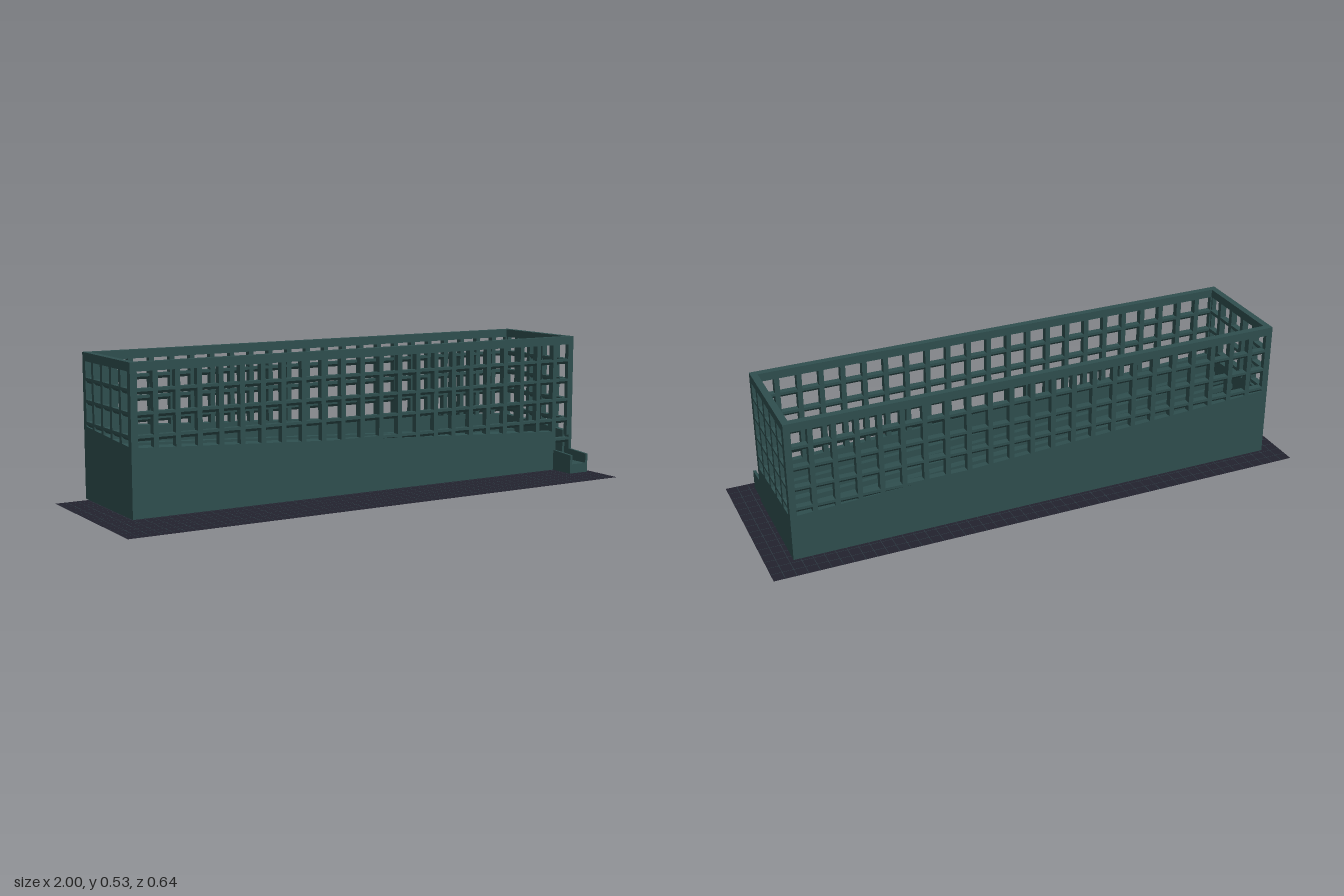
import * as THREE from 'three';

const X = 0.912, ZB = -0.2545, ZF = 0.154, Y0 = 0.02, TOP = 0.53;
const POST = 0.018, THICK = 0.024;

export function createModel() {
  const teal = new THREE.MeshStandardMaterial({ color: 0x2f4f4f });
  teal.name = 'slate teal';
  const navy = new THREE.MeshStandardMaterial({ color: 0x22222e, side: THREE.DoubleSide });
  navy.name = 'dark paving';
  const joint = new THREE.MeshStandardMaterial({ color: 0x2c3a42 });
  joint.name = 'paving joint';

  const model = new THREE.Group();
  model.name = 'latticeEnclosure';

  const add = (parent, name, geo, mat = teal) => {
    const mesh = new THREE.Mesh(geo, mat);
    mesh.name = name;
    parent.add(mesh);
    return mesh;
  };
  const box = (parent, name, x0, x1, y0, y1, z0, z1) =>
    add(parent, name, new THREE.BoxGeometry(x1 - x0, y1 - y0, z1 - z0))
      .position.set((x0 + x1) / 2, (y0 + y1) / 2, (z0 + z1) / 2);

  // Block whose top (and optionally bottom) corners follow a height rule
  const slopedBlock = (name, x0, x1, z0, z1, height, bottom = () => Y0) => {
    const geo = new THREE.BoxGeometry(x1 - x0, 1, z1 - z0);
    geo.translate((x0 + x1) / 2, 0, (z0 + z1) / 2);
    const p = geo.attributes.position;
    for (let i = 0; i < p.count; i++) {
      const rule = p.getY(i) < 0 ? bottom : height;
      p.setY(i, rule(p.getX(i), p.getZ(i)));
    }
    // The ends stay upright, so only the sloping faces need new normals
    geo.computeVertexNormals();
    add(model, name, geo);
  };
  const wallTop = (x, z) => 0.2173 - 0.0495 * x - 0.054 * z;

  // Paved ground sheet with thin joints
  add(model, 'paving', new THREE.PlaneGeometry(2, 0.64).rotateX(-Math.PI / 2), navy);
  const joints = new THREE.Group();
  joints.name = 'pavingJoints';
  joints.position.y = 0.0005;
  model.add(joints);
  const cross = new THREE.PlaneGeometry(0.002, 0.64).rotateX(-Math.PI / 2);
  const long = new THREE.PlaneGeometry(2, 0.002).rotateX(-Math.PI / 2);
  for (let i = -24; i <= 24; i++) add(joints, 'crossJoint', cross, joint).position.x = i * 0.04;
  for (let i = -7; i <= 7; i++) add(joints, 'longJoint', long, joint).position.z = i * 0.04;

  // Hollow base: walls with sloping tops, a doorway near the front corner, and a floor
  const DX0 = 0.834, DX1 = 0.898, zi = ZF - THICK, xi = X - THICK;
  slopedBlock('frontWall', -X, DX0, zi, ZF, wallTop);
  slopedBlock('doorJamb', DX1, X, zi, ZF, wallTop);
  slopedBlock('backWall', -X, X, ZB, ZB + THICK, wallTop);
  slopedBlock('leftWall', xi, X, ZB, zi, wallTop);
  slopedBlock('rightWall', -X, -xi, ZB, zi, wallTop);
  box(model, 'floor', -xi, xi, Y0, 0.03, ZB + THICK, zi);

  // Porch in front of the doorway, between two cheek walls
  const cheek = (x, z) => 0.09 + (0.2545 - z) * 0.07;
  slopedBlock('porchCheek', 0.824, DX0, ZF, 0.2545, cheek);
  slopedBlock('porchCheek', DX1, 0.908, ZF, 0.2545, cheek);
  box(model, 'porchFloor', DX0, DX1, Y0, 0.055, zi, 0.2545);

  // Long slats running parallel to the sloping wall tops
  for (let i = 0; i < 5; i++) {
    const z = 0.077 - i * 0.0643;
    slopedBlock('slat', -xi, xi, z - 0.01, z + 0.01,
      (x, zz) => wallTop(x, zz) - 0.05, (x, zz) => wallTop(x, zz) - 0.07);
  }

  // Rail section with a tapered underside
  const h = THICK / 2;
  const railShape = new THREE.Shape([
    [-h, 0.019], [-h, 0.0095], [-0.004, 0], [0.004, 0], [h, 0.0095], [h, 0.019],
  ].map(([x, y]) => new THREE.Vector2(x, y)));
  const rail = (parent, name, length, y) => {
    const geo = new THREE.ExtrudeGeometry(railShape, { depth: length, bevelEnabled: false });
    geo.translate(0, 0, -length / 2).rotateY(Math.PI / 2);
    const mesh = add(parent, name, geo);
    mesh.position.y = y;
    return mesh;
  };

  // One lattice wall, running along its own x axis
  const latticeWall = (name, length, bays) => {
    const wall = new THREE.Group();
    wall.name = name;
    const pitch = (length - POST) / bays;
    for (let i = 0; i <= bays; i++) {
      const x = -length / 2 + POST / 2 + i * pitch;
      box(wall, 'post', x - POST / 2, x + POST / 2, 0.15, 0.51, -h, h);
    }
    box(wall, 'topRail', -length / 2, length / 2, 0.5, TOP, -h, h);
    for (let r = 0; r < 4; r++) rail(wall, 'rail', length - 0.004, 0.425 - r * 0.0757);
    model.add(wall);
    return wall;
  };
  latticeWall('frontLattice', 2 * X, 23).position.z = ZF - h;
  latticeWall('backLattice', 2 * X, 23).position.z = ZB + h;
  for (const s of [-1, 1]) {
    const wall = latticeWall(s > 0 ? 'leftLattice' : 'rightLattice', ZF - ZB, 5);
    wall.rotation.y = Math.PI / 2;
    wall.position.set(s * (X - h), 0, (ZF + ZB) / 2);
  }

  // Rail crossing the doorway
  const doorRail = rail(model, 'doorRail', DX1 - DX0, 0.122);
  doorRail.position.x = (DX0 + DX1) / 2;
  doorRail.position.z = ZF - h;
  return model;
}
